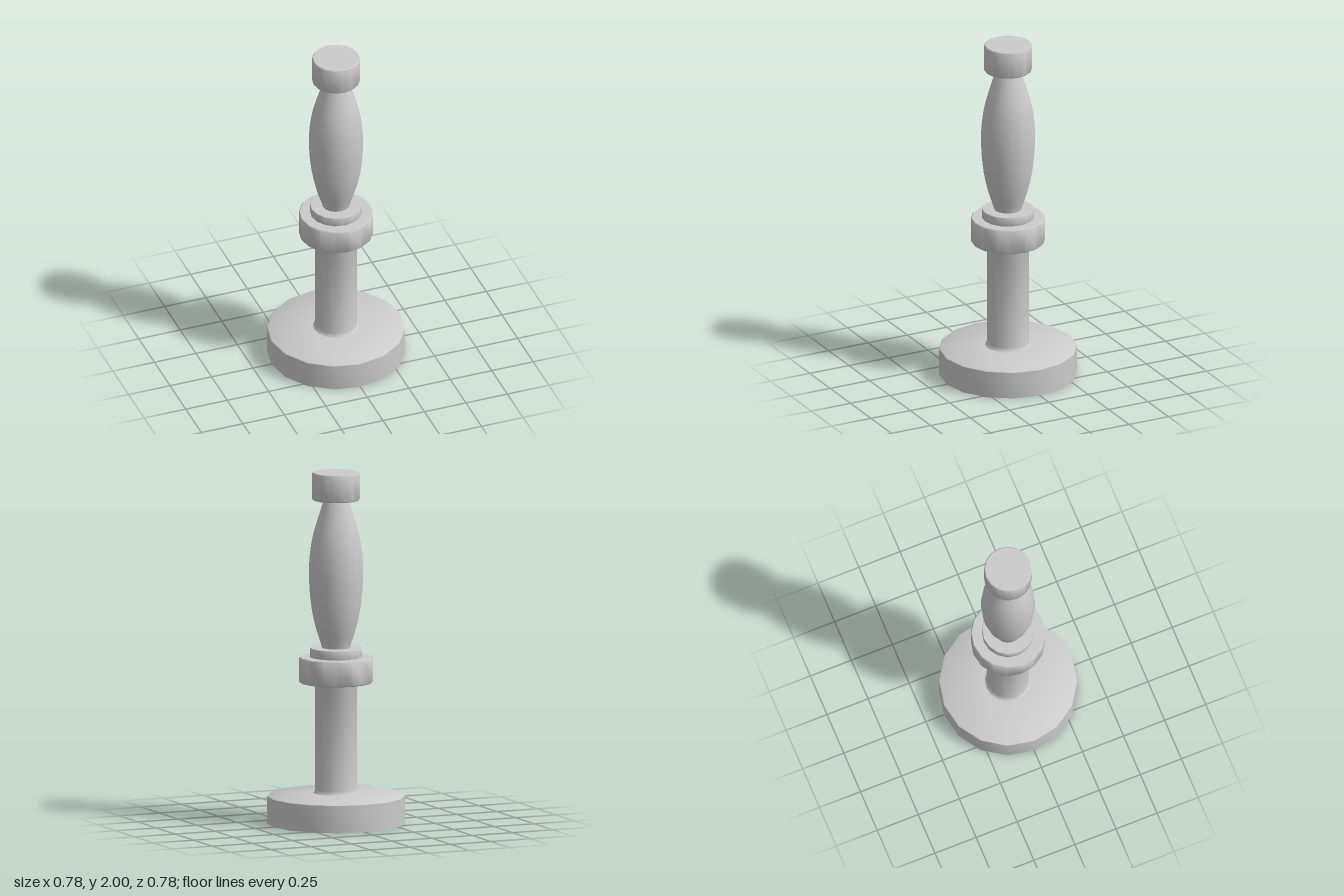
import * as THREE from 'three';
import { toCreasedNormals } from 'three/addons/utils/BufferGeometryUtils.js';

const SIDES = 16;
const material = new THREE.MeshStandardMaterial({ color: 0xcccccc });

// Turned part from [radius, height] pairs, listed from bottom to top
function turned(name, profile) {
  const points = profile.map(([r, y]) => new THREE.Vector2(r, y));
  const geometry = toCreasedNormals(new THREE.LatheGeometry(points, SIDES), Math.PI / 4);
  const mesh = new THREE.Mesh(geometry, material);
  mesh.name = name;
  return mesh;
}

// Closed disc with a small bevel on both rims
function disc(name, r, bottom, top, b = 0.005) {
  return turned(name, [
    [0, bottom], [r - b, bottom], [r, bottom + b],
    [r, top - b], [r - b, top], [0, top],
  ]);
}

export function createModel() {
  const group = new THREE.Group();
  group.name = 'turnedHandleStand';

  // Broad foot with a gently sloping top
  group.add(turned('base', [
    [0, 0], [0.39, 0], [0.39, 0.155], [0.383, 0.161], [0.13, 0.173], [0, 0.176],
  ]));

  // Column with small fillets at both ends
  group.add(turned('shaft', [
    [0.132, 0.172], [0.122, 0.18], [0.118, 0.195], [0.118, 0.79], [0.125, 0.806],
  ]));

  // Stepped collar between column and grip
  group.add(disc('collar', 0.21, 0.803, 0.948));
  group.add(disc('collarStep', 0.147, 0.94, 1.0, 0.002));

  // Swelling grip
  const curve = new THREE.SplineCurve([
    [0.078, 0.995], [0.087, 1.03], [0.113, 1.11], [0.137, 1.22], [0.149, 1.33],
    [0.153, 1.43], [0.148, 1.53], [0.133, 1.63], [0.105, 1.73], [0.066, 1.85],
  ].map(([r, y]) => new THREE.Vector2(r, y)));
  group.add(turned('grip', curve.getPoints(18).map((p) => [p.x, p.y])));

  // End cap
  group.add(disc('cap', 0.135, 1.843, 2.0));

  return group;
}
